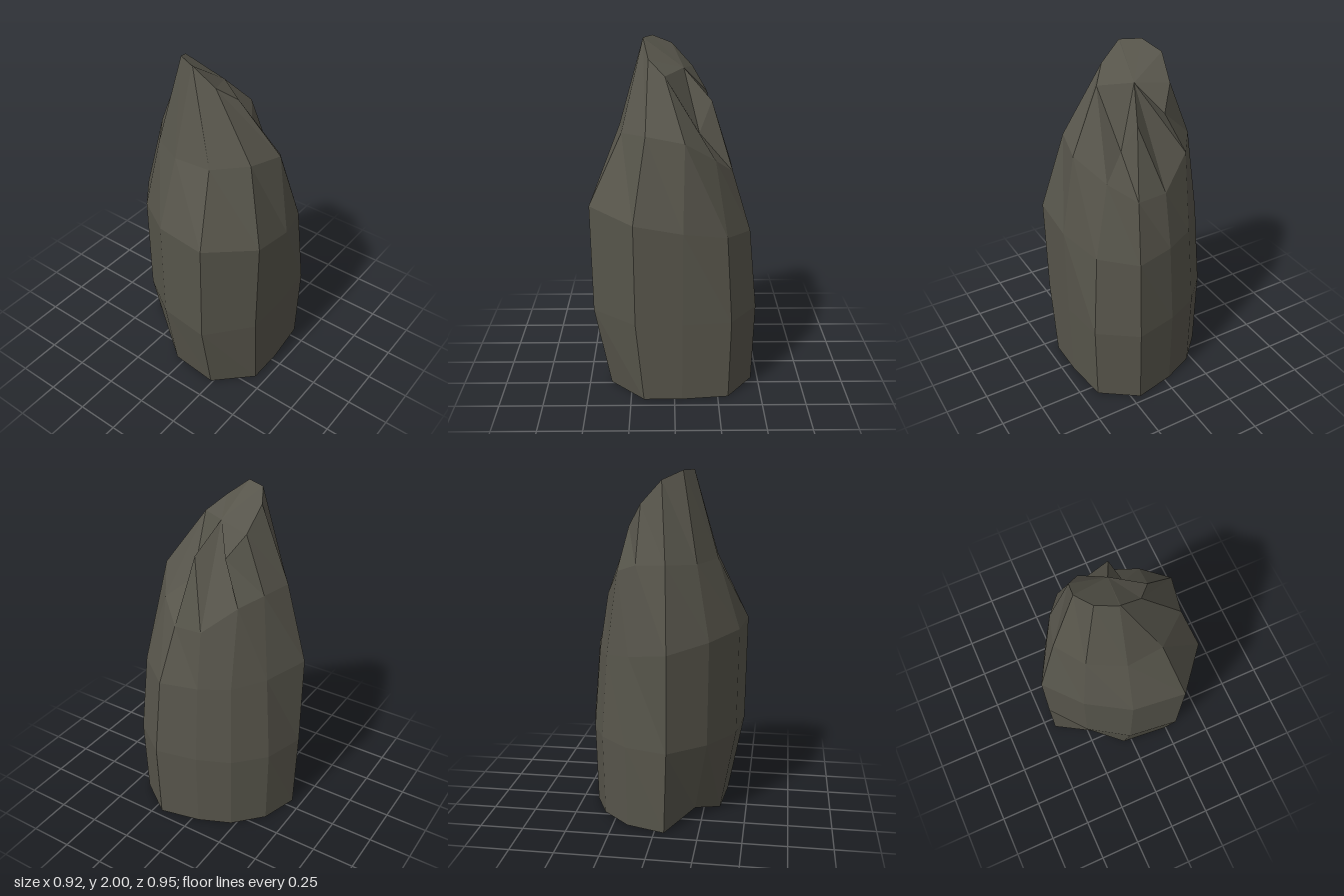
import * as THREE from 'three';

// Widest outline, counter-clockwise from the left front: x, z
const OUTLINE = [[-0.455, 0.07], [-0.285, 0.28], [-0.055, 0.43], [0.245, 0.465], [0.45, 0.22], [0.45, -0.045],
  [0.42, -0.32], [0.205, -0.475], [-0.04, -0.42], [-0.23, -0.335], [-0.385, -0.17]];

// Irregular taper below the crest: x, y, z
const TAPER = [[-0.35, 1.51, 0.05], [-0.235, 1.5, 0.21], [-0.04, 1.51, 0.31], [0.17, 1.51, 0.29], [0.34, 1.53, 0.155],
  [0.385, 1.5, -0.055], [0.275, 1.38, -0.225], [0.14, 1.28, -0.33], [-0.03, 1.29, -0.33], [-0.21, 1.45, -0.24], [-0.3, 1.5, -0.12]];

// Broken crest, with a cleft and spur at the back: x, y, z
const CREST = [[-0.2, 1.95, 0.01], [-0.14, 2, 0.12], [-0.03, 2, 0.17], [-0.025, 2, 0.17], [0.1, 1.9, 0.14],
  [0.18, 1.82, 0.05], [0.14, 1.5, -0.14], [0.08, 1.67, -0.21], [0.01, 1.84, -0.055], [-0.1, 1.69, -0.19], [-0.18, 1.82, -0.11]];

// Foot: undercut at the front, with one chipped corner
function footPoint([x, z], k) {
  const chip = k === 1;
  const inset = chip ? 0.75 : 0.97;
  const undercut = z > 0 && !chip ? 0.8 : inset;
  return [x * inset, chip ? 0.06 : 0, z * undercut];
}

// Shoulder: drawn in at the back and rising towards the front
function shoulderPoint([x, z]) {
  const scale = z < -0.1 ? 0.91 : 1.02;
  return [x * scale, 1.03 + 0.18 * z, z * scale];
}

export function createModel() {
  const group = new THREE.Group();
  const stone = new THREE.MeshStandardMaterial({ color: 0x57554b });
  stone.name = 'darkStone';

  const n = OUTLINE.length;
  const rings = [
    OUTLINE.map(footPoint),
    OUTLINE.map(([x, z]) => [x, 0.48, z]),
    OUTLINE.map(shoulderPoint),
    TAPER,
    CREST,
  ];
  const positions = rings.flat(2);
  const index = [];

  // sides
  for (let r = 0; r < rings.length - 1; r++) {
    for (let k = 0; k < n; k++) {
      const a = r * n + k, b = r * n + (k + 1) % n;
      index.push(a, b, a + n, b, b + n, a + n);
    }
  }

  // crest closes as a fan around the inner top corner
  const top = (rings.length - 1) * n, hub = 8;
  for (let i = 1; i < n - 1; i++) {
    index.push(top + hub, top + (hub + i) % n, top + (hub + i + 1) % n);
  }

  // underside closes around a centre point
  const centre = positions.length / 3;
  positions.push(0, 0, 0);
  for (let k = 0; k < n; k++) index.push(centre, (k + 1) % n, k);

  // separate the faces so that every facet is flat
  const indexed = new THREE.BufferGeometry();
  indexed.setAttribute('position', new THREE.Float32BufferAttribute(positions, 3));
  indexed.setIndex(index);
  const geometry = indexed.toNonIndexed();
  geometry.computeVertexNormals();

  const rock = new THREE.Mesh(geometry, stone);
  rock.name = 'standingRock';
  group.add(rock);
  return group;
}
